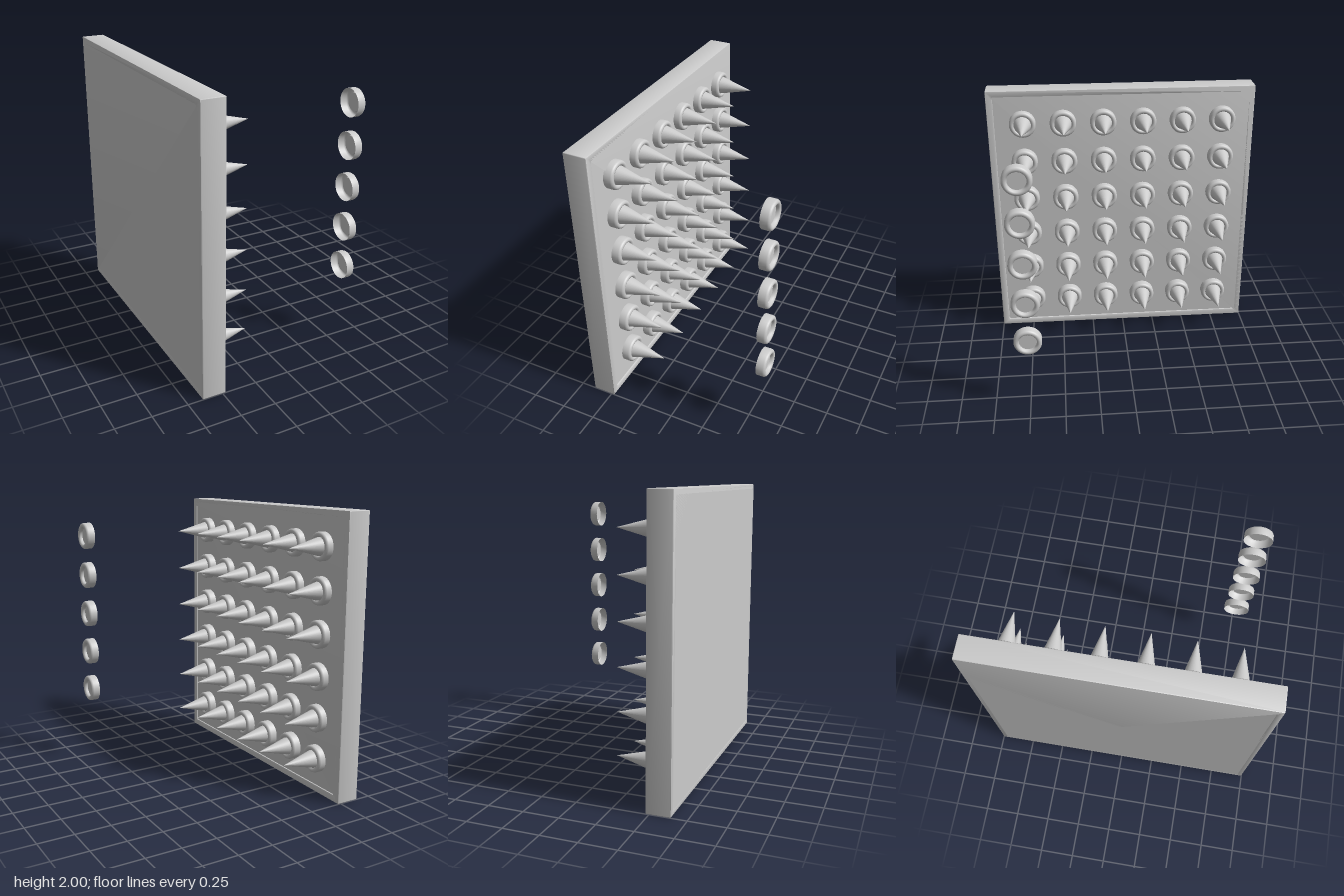
import * as THREE from 'three';
import { toCreasedNormals } from 'three/addons/utils/BufferGeometryUtils.js';

const BACK = -0.645, FRONT = -0.475, FLOOR = -0.485;
const PITCH = 0.299, FIRST_Y = 0.26, FIRST_Z = 0.74;

// Square outline of a given half size; a rounding radius softens the corners
function square(PathType, h, r) {
  const p = new PathType();
  p.moveTo(-h + r, -h);
  p.lineTo(h - r, -h).quadraticCurveTo(h, -h, h, -h + r);
  p.lineTo(h, h - r).quadraticCurveTo(h, h, h - r, h);
  p.lineTo(-h + r, h).quadraticCurveTo(-h, h, -h, h - r);
  p.lineTo(-h, -h + r).quadraticCurveTo(-h, -h, -h + r, -h);
  return p;
}

export function createModel() {
  const model = new THREE.Group();
  model.name = 'spikeTrap';
  const grey = new THREE.MeshStandardMaterial({ color: 0xcccccc });
  const thin = new THREE.MeshStandardMaterial({ color: 0xcccccc, side: THREE.DoubleSide });

  const add = (parent, name, geometry, material, x, y, z) => {
    const mesh = new THREE.Mesh(geometry, material);
    mesh.name = name;
    mesh.position.set(x, y, z);
    parent.add(mesh);
    return mesh;
  };

  // Wall plate: bevelled rim around a slightly sunken panel
  const plate = new THREE.Group();
  plate.name = 'wallPlate';
  model.add(plate);
  const bevel = 0.008;
  const outline = square(THREE.Shape, 1, 0.006);
  outline.holes.push(square(THREE.Path, 0.95, 0.012));
  const rim = new THREE.ExtrudeGeometry(outline, {
    depth: FRONT - BACK - 2 * bevel, bevelThickness: bevel, bevelSize: bevel,
    bevelOffset: -bevel, bevelSegments: 2, curveSegments: 4,
  });
  rim.translate(0, 0, bevel).rotateY(Math.PI / 2);
  add(plate, 'plateRim', toCreasedNormals(rim, 0.6), grey, BACK, 1, 0);
  add(plate, 'platePanel', new THREE.BoxGeometry(FLOOR - BACK, 1.93, 1.93), grey,
    (BACK + FLOOR) / 2, 1, 0);

  // Collar: hollow cup, open at the back, with a dished front
  const profile = [
    [0.098, 0], [0.098, 0.048], [0.094, 0.058], [0.086, 0.064], [0.078, 0.065],
    [0.069, 0.062], [0.064, 0.054], [0.062, 0.038], [0, 0.038],
  ].map(([r, h]) => new THREE.Vector2(r, h));
  const collarGeo = toCreasedNormals(
    new THREE.LatheGeometry(profile, 32).rotateZ(-Math.PI / 2), 0.7);

  // Spike: plain cone pointing along +x
  const spikeLength = 0.28;
  const spikeGeo = new THREE.ConeGeometry(0.073, spikeLength, 32)
    .rotateZ(-Math.PI / 2).translate(spikeLength / 2, 0, 0);

  // Six by six grid of collared spikes
  const spikes = new THREE.Group();
  spikes.name = 'spikeGrid';
  model.add(spikes);
  for (let row = 0; row < 6; row++) {
    for (let col = 0; col < 6; col++) {
      const y = FIRST_Y + row * PITCH, z = FIRST_Z - col * PITCH;
      add(spikes, 'spikeCollar', collarGeo, thin, FLOOR, y, z);
      add(spikes, 'spike', spikeGeo, grey, -0.185 - spikeLength, y, z);
    }
  }

  // Loose collars standing clear of the plate
  const loose = new THREE.Group();
  loose.name = 'looseCollars';
  model.add(loose);
  for (let row = 1; row < 6; row++) {
    add(loose, 'looseCollar', collarGeo, thin, 0.577, FIRST_Y + row * PITCH, FIRST_Z);
  }
  return model;
}
